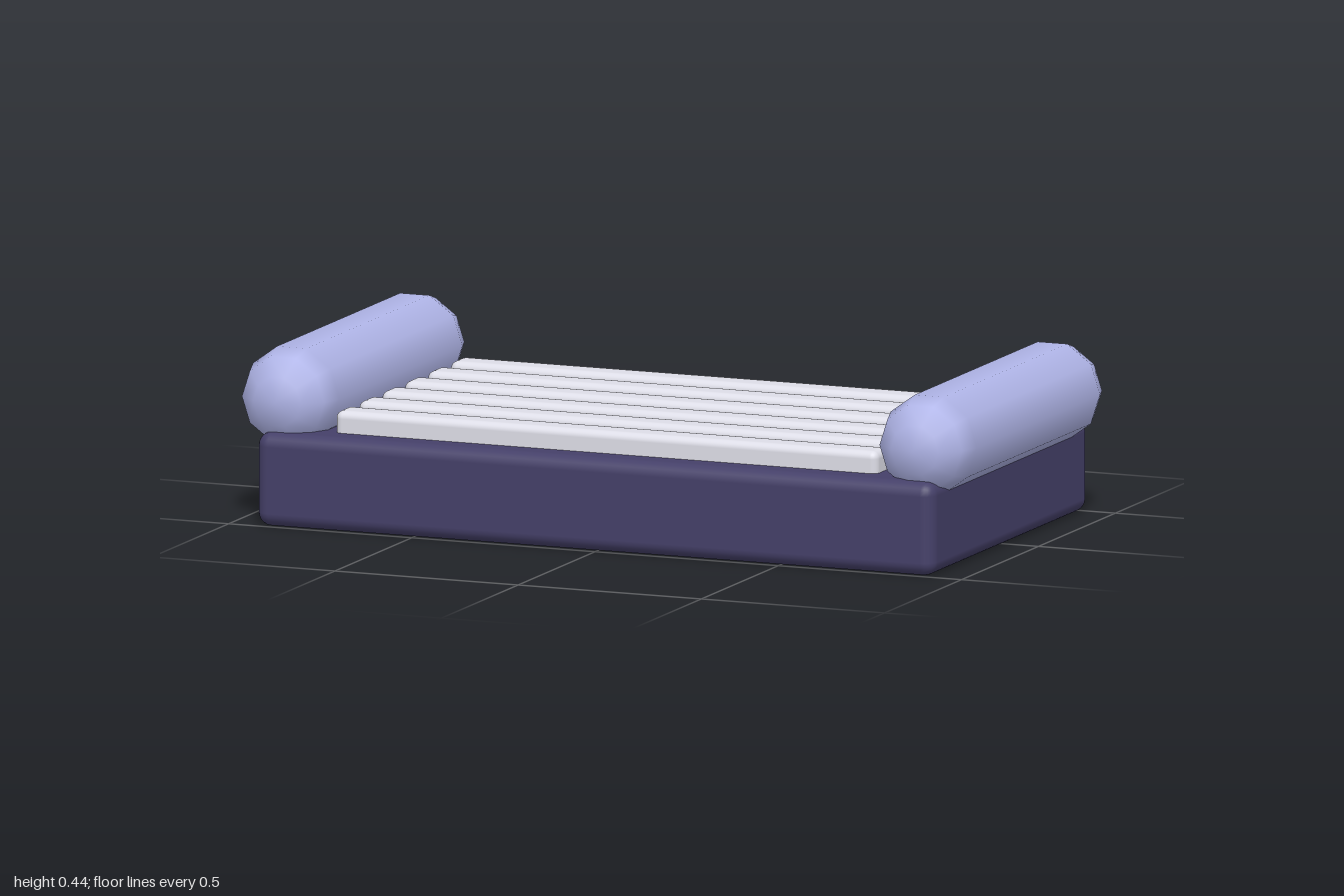
import * as THREE from 'three';
import { RoundedBoxGeometry } from 'three/addons/geometries/RoundedBoxGeometry.js';

export function createModel() {
  const model = new THREE.Group();
  model.name = 'slattedBed';

  const baseMaterial = new THREE.MeshStandardMaterial({ color: 0x454069 });
  const bolsterMaterial = new THREE.MeshStandardMaterial({ color: 0xb0b5e8 });
  const slatMaterial = new THREE.MeshStandardMaterial({ color: 0xdedee8 });

  function add(name, geometry, material, x, y, z) {
    const mesh = new THREE.Mesh(geometry, material);
    mesh.name = name;
    mesh.position.set(x, y, z);
    model.add(mesh);
  }

  // Solid base with softened edges
  add('base', new RoundedBoxGeometry(1.85, 0.24, 1.02, 3, 0.035), baseMaterial, 0, 0.12, 0);

  // Ten-sided bolsters with slightly flattened round ends
  const radius = 0.13, capDepth = 0.11, straight = 0.8;
  const squash = capDepth / radius;
  const bolster = new THREE.CapsuleGeometry(radius, straight / squash, 3, 10);
  bolster.scale(1, squash, 1).rotateX(Math.PI / 2);
  add('leftBolster', bolster, bolsterMaterial, 0.87, 0.32, 0);
  add('rightBolster', bolster, bolsterMaterial, -0.87, 0.32, 0);

  // Six slats let into the top of the base
  const slat = new RoundedBoxGeometry(1.48, 0.085, 0.086, 3, 0.02);
  for (let i = 0; i < 6; i++) {
    add(`slat${i + 1}`, slat, slatMaterial, 0, 0.2535, -0.353 + i * 0.1485);
  }

  return model;
}
